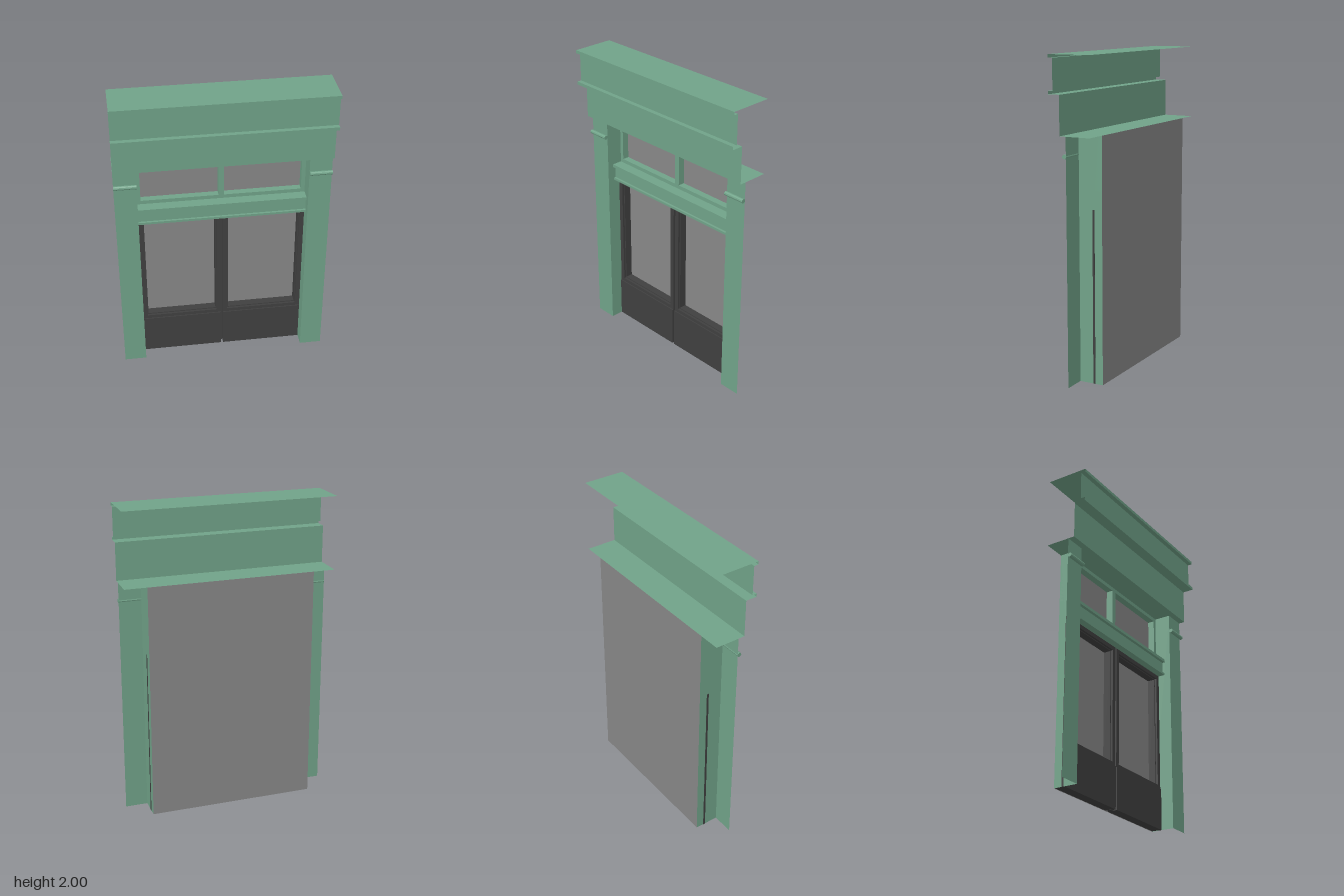
import * as THREE from 'three';

const HALF = 0.683, OPEN = 0.54, BACK = -0.137, SOFFIT = 1.53;

const material = (color) => new THREE.MeshStandardMaterial({ color, side: THREE.DoubleSide, flatShading: true });

// Open sheet: a [z, y] profile, listed from the top down, drawn along x
function sweep(profile, x0, x1) {
  const pos = [];
  for (let i = 0; i < profile.length - 1; i++) {
    const [z0, y0] = profile[i], [z1, y1] = profile[i + 1];
    pos.push(x0, y0, z0, x0, y1, z1, x1, y1, z1);
    pos.push(x0, y0, z0, x1, y1, z1, x1, y0, z0);
  }
  const g = new THREE.BufferGeometry();
  g.setAttribute('position', new THREE.Float32BufferAttribute(pos, 3));
  g.computeVertexNormals();
  return g;
}

function rect(Kind, x0, x1, y0, y1) {
  const s = new Kind();
  s.moveTo(x0, y0);
  s.lineTo(x1, y0);
  s.lineTo(x1, y1);
  s.lineTo(x0, y1);
  s.closePath();
  return s;
}

// Rectangular plate with rectangular openings; bounds are [x0, x1, y0, y1]
function plate(outer, holes, z0, z1) {
  const s = rect(THREE.Shape, ...outer);
  s.holes = holes.map((h) => rect(THREE.Path, ...h));
  return new THREE.ExtrudeGeometry(s, { depth: z1 - z0, bevelEnabled: false }).translate(0, 0, z0);
}

export function createModel() {
  const group = new THREE.Group();
  const green = material(0x71a389), dark = material(0x404040), grey = material(0x888888);
  const add = (name, geometry, mat, parent = group) => {
    const m = new THREE.Mesh(geometry, mat);
    m.name = name;
    parent.add(m);
    return m;
  };

  // Stepped cornice and frieze, open at the ends and back
  add('cornice', sweep([
    [BACK, 2], [0.137, 2], [0.137, 1.98], [0.107, 1.98], [0.107, 1.79],
    [0.137, 1.79], [0.137, 1.77], [0.063, 1.77], [0.063, SOFFIT], [BACK, SOFFIT],
  ], -HALF, HALF), green);

  // Glazing sheet behind the whole opening
  add('glazing', new THREE.PlaneGeometry(2 * OPEN, SOFFIT).translate(0, SOFFIT / 2, BACK), grey);

  // Transom window frame with a central mullion
  add('transomFrame', plate([-OPEN, OPEN, 1.2, SOFFIT],
    [[-0.515, -0.018, 1.225, 1.505], [0.018, 0.515, 1.225, 1.505]], -0.135, -0.09), green);

  // Moulded sill between transom and doors
  add('sill', sweep([
    [-0.09, 1.2], [-0.02, 1.2], [-0.02, 1.18], [-0.04, 1.18], [-0.04, 1.1],
    [-0.025, 1.1], [-0.025, 1.085], [-0.135, 1.085],
  ], -OPEN, OPEN), green);

  for (const side of [-1, 1]) {
    // Pilaster: front face and the return into the opening
    const pilaster = new THREE.Group();
    pilaster.name = side > 0 ? 'leftPilaster' : 'rightPilaster';
    group.add(pilaster);
    const mid = side * (HALF + OPEN) / 2, width = HALF - OPEN;
    add('pilasterFace', new THREE.PlaneGeometry(width, SOFFIT).translate(mid, SOFFIT / 2, 0.021), green, pilaster);
    const depth = 0.021 - BACK;
    add('pilasterReturn', new THREE.PlaneGeometry(depth, SOFFIT).rotateY(-side * Math.PI / 2)
      .translate(side * OPEN, SOFFIT / 2, 0.021 - depth / 2), green, pilaster);
    add('pilasterMoulding', new THREE.CylinderGeometry(0.014, 0.014, width, 10).rotateZ(Math.PI / 2)
      .translate(mid, 1.411, 0.033), green, pilaster);

    // Door leaf: stepped frame around the glass, solid panel below
    const door = new THREE.Group();
    door.name = side > 0 ? 'leftDoor' : 'rightDoor';
    group.add(door);
    const span = (a, b) => (side > 0 ? [a, b] : [-b, -a]);
    add('doorFrame', plate([...span(0.007, 0.5415), 0, 1.084],
      [[...span(0.036, 0.51), 0.298, 1.056]], -0.085, -0.071), dark, door);
    add('glassBead', plate([...span(0.012, 0.538), 0.002, 1.083],
      [[...span(0.043, 0.503), 0.306, 1.05]], -0.135, -0.085), dark, door);
    add('kickPanel', plate([...span(0.007, 0.539), 0, 0.274], [], -0.071, -0.064), dark, door);
  }

  // Dark strip closing the gap between the two leaves
  add('doorGap', new THREE.BoxGeometry(0.03, 1.08, 0.03).translate(0, 0.541, -0.112), dark);

  return group;
}
